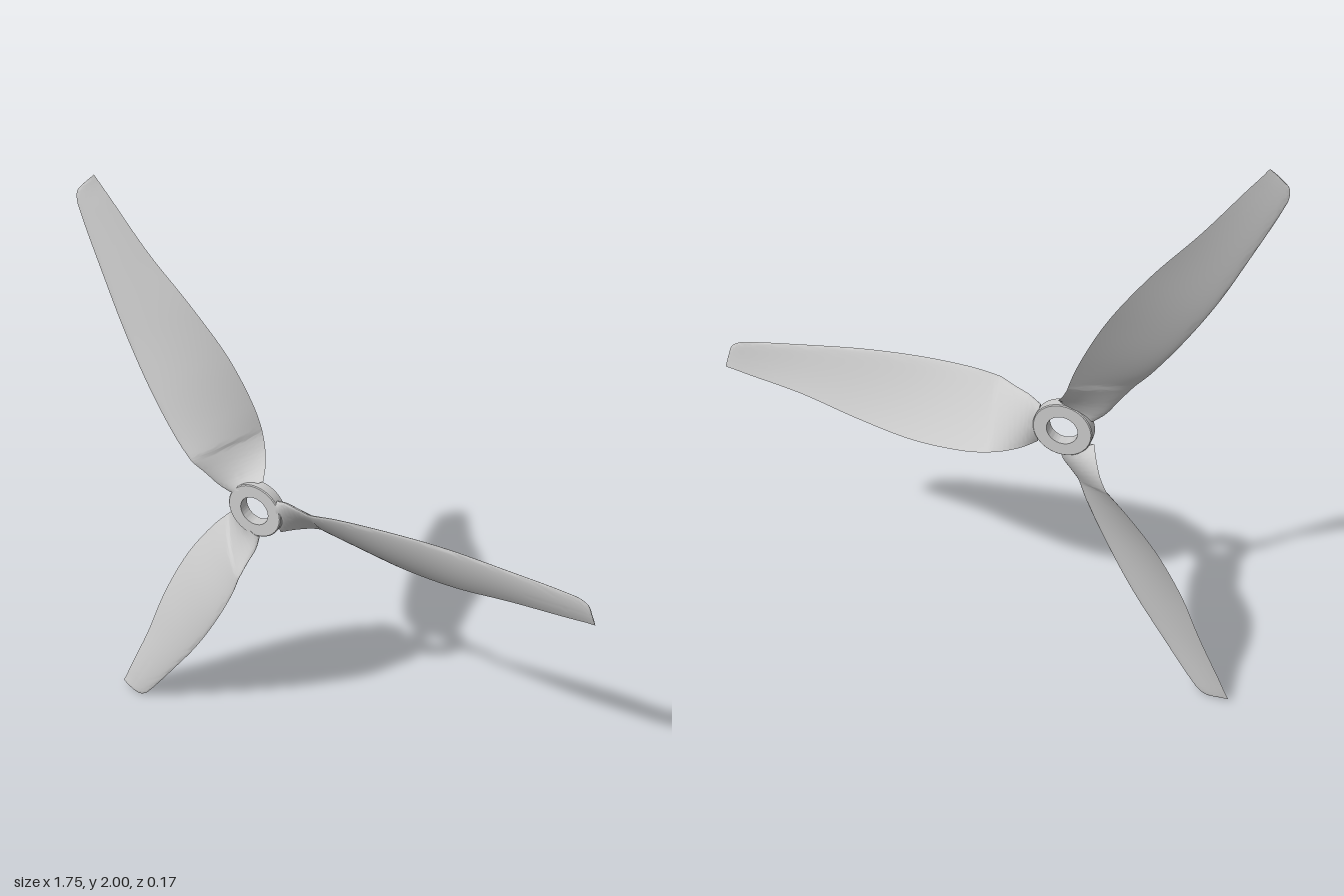
import * as THREE from 'three';
import { toCreasedNormals } from 'three/addons/utils/BufferGeometryUtils.js';

const HUB = { x: -0.27, y: 0.99, outer: 0.095, inner: 0.05, back: -0.006, front: 0.032 };

// Blade stations measured from the hub axis, blade pointing along +x:
// leading edge [x, y, z], trailing edge [x, y, z], [thickness, bulge to the front]
const STATIONS = [
  [[0.080, 0.060, 0.024], [0.080, -0.070, 0.006], [0.028, 0.000]],
  [[0.120, 0.076, 0.040], [0.115, -0.073, -0.034], [0.024, 0.000]],
  [[0.175, 0.083, 0.060], [0.160, -0.075, -0.068], [0.020, 0.001]],
  [[0.228, 0.092, 0.080], [0.205, -0.080, -0.085], [0.018, 0.003]],
  [[0.242, 0.094, 0.081], [0.220, -0.084, -0.086], [0.019, 0.007]],
  [[0.310, 0.105, 0.079], [0.295, -0.100, -0.083], [0.019, 0.010]],
  [[0.470, 0.114, 0.070], [0.470, -0.115, -0.066], [0.018, 0.012]],
  [[0.670, 0.110, 0.053], [0.670, -0.100, -0.039], [0.016, 0.010]],
  [[0.870, 0.090, 0.037], [0.870, -0.066, -0.018], [0.013, 0.007]],
  [[1.050, 0.068, 0.022], [1.060, -0.045, -0.006], [0.010, 0.004]],
  [[1.098, 0.058, 0.018], [1.115, -0.038, -0.003], [0.008, 0.003]],
  [[1.124, 0.040, 0.015], [1.138, -0.036, -0.001], [0.006, 0.002]],
  [[1.136, 0.004, 0.010], [1.145, -0.035, 0.000], [0.003, 0.000]],
];

function bladeGeometry(half = 18) {
  const curve = (k) => new THREE.CatmullRomCurve3(
    STATIONS.map((s) => new THREE.Vector3(s[k][0], s[k][1], s[k][2] ?? 0)), false, 'centripetal');
  const [leading, trailing, section] = [curve(0), curve(1), curve(2)];
  const rows = (STATIONS.length - 1) * 8;
  const ring = half * 2;
  const pos = [], idx = [];
  const xAxis = new THREE.Vector3(1, 0, 0);

  for (let i = 0; i <= rows; i++) {
    const u = leading.getPoint(i / rows), l = trailing.getPoint(i / rows), t = section.getPoint(i / rows);
    const front = l.clone().sub(u).cross(xAxis).normalize();
    for (let j = 0; j < ring; j++) {
      // front skin from leading to trailing edge, then back skin in return
      const side = j <= half ? 1 : -1;
      const s = (1 - Math.cos((Math.PI * j) / half)) / 2;
      // blunt nose, thin tail
      const thickness = t.x * 2.6 * Math.sqrt(s) * (1 - s);
      const offset = t.y * 4 * s * (1 - s) + (side * thickness) / 2;
      const p = u.clone().lerp(l, s).addScaledVector(front, offset);
      pos.push(p.x, p.y, p.z);
    }
  }
  for (let i = 0; i < rows; i++) {
    for (let j = 0; j < ring; j++) {
      const k = (j + 1) % ring;
      const a = i * ring + j, b = i * ring + k, c = b + ring, d = a + ring;
      idx.push(a, b, c, a, c, d);
    }
  }
  // closed root and tip
  const last = rows * ring;
  for (let j = 1; j < ring - 1; j++) {
    idx.push(0, j + 1, j, last, last + j, last + j + 1);
  }
  const geo = new THREE.BufferGeometry();
  geo.setAttribute('position', new THREE.Float32BufferAttribute(pos, 3));
  geo.setIndex(idx);
  return toCreasedNormals(geo, 0.6);
}

function hubGeometry() {
  const { outer, inner, back, front } = HUB;
  const b = 0.003; // small edge bevel
  const profile = [
    [inner, back], [outer - b, back], [outer, back + b],
    [outer, front - b], [outer - b, front], [inner, front], [inner, back],
  ].map(([r, z]) => new THREE.Vector2(r, z));
  const geo = new THREE.LatheGeometry(profile, 64);
  geo.rotateX(Math.PI / 2);
  return toCreasedNormals(geo, 0.5);
}

export function createModel() {
  const model = new THREE.Group();
  model.name = 'propeller';
  const material = new THREE.MeshStandardMaterial({ color: 0xcccccc });

  const rotor = new THREE.Group();
  rotor.name = 'rotor';
  rotor.position.set(HUB.x, HUB.y, 0);
  model.add(rotor);

  // Ring hub with a through hole
  const hub = new THREE.Mesh(hubGeometry(), material);
  hub.name = 'hub';
  rotor.add(hub);

  // Three twisted blades
  const blade = bladeGeometry();
  for (let i = 0; i < 3; i++) {
    const mesh = new THREE.Mesh(blade, material);
    mesh.name = `blade${i + 1}`;
    mesh.rotation.z = (i * Math.PI * 2) / 3;
    rotor.add(mesh);
  }
  return model;
}
